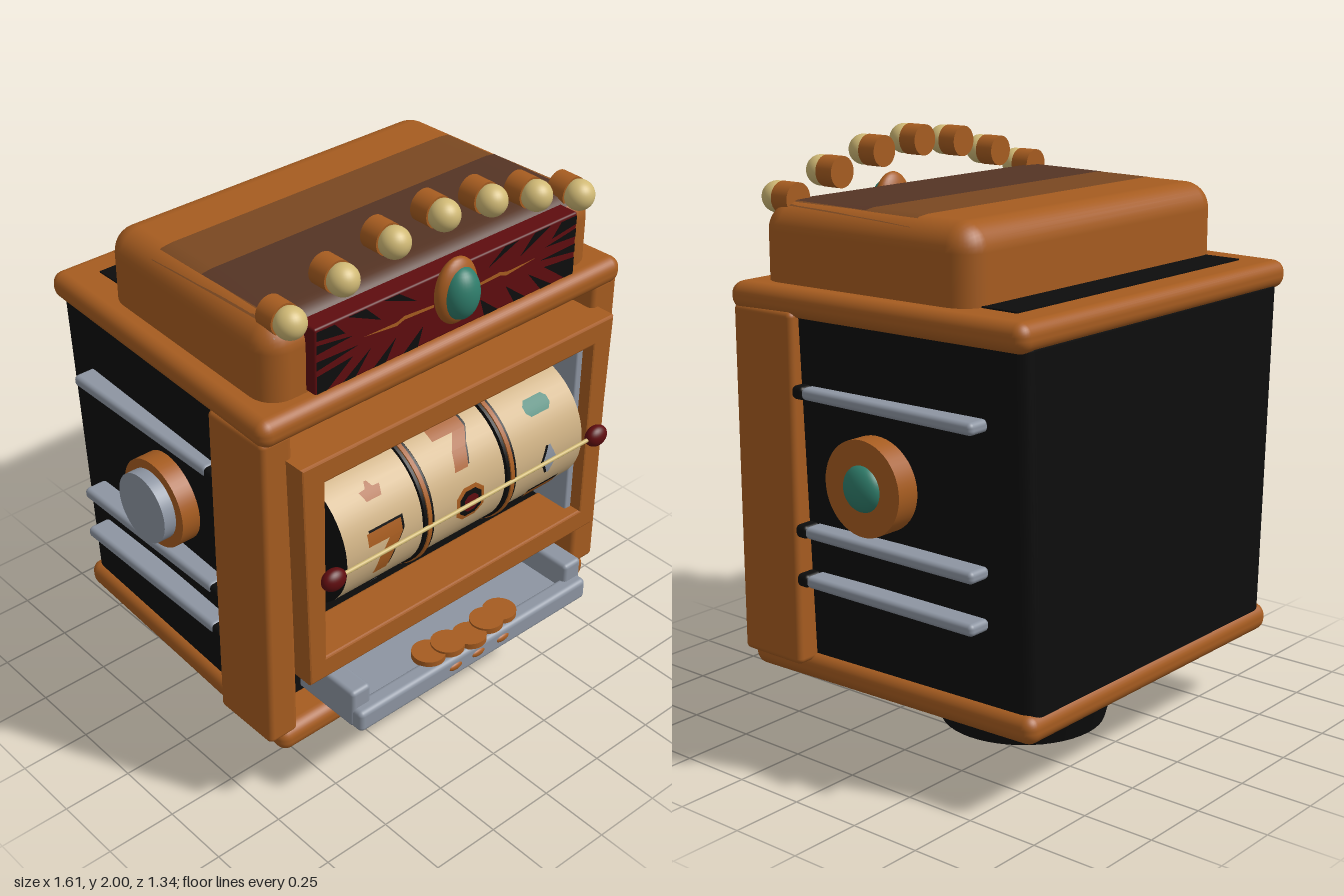
import * as THREE from 'three';
import { RoundedBoxGeometry } from 'three/addons/geometries/RoundedBoxGeometry.js';

const mat = (name, color) => Object.assign(new THREE.MeshStandardMaterial({ color }), { name });

export function createModel() {
  const wood = mat('orange wood', 0xa65c20), midWood = mat('dark orange', 0x7a4821), brown = mat('brown', 0x553424);
  const black = mat('black', 0x0d0d0d), silver = mat('silver', 0x8d95a2), cream = mat('cream', 0xcdb083);
  const gold = mat('pale gold', 0xd0b975), red = mat('dark red', 0x5e0c0f), teal = mat('teal', 0x2f7d6b);
  const root = new THREE.Group();
  root.name = 'slotMachine';

  const add = (name, geo, material, x = 0, y = 0, z = 0) => {
    const m = new THREE.Mesh(geo, material);
    m.name = name;
    m.position.set(x, y, z);
    root.add(m);
    return m;
  };
  // Rounded box given by its limits
  const block = (name, material, [x0, x1], [y0, y1], [z0, z1], r = 0.015) =>
    add(name, new RoundedBoxGeometry(x1 - x0, y1 - y0, z1 - z0, 4, r)
      .translate((x0 + x1) / 2, (y0 + y1) / 2, (z0 + z1) / 2), material);
  // The cabinet narrows toward the back and the bottom
  const taper = (mesh) => {
    const p = mesh.geometry.attributes.position;
    for (let i = 0; i < p.count; i++) {
      const plan = 1 - 0.072 * (0.49 - p.getZ(i)) / 1.16;
      const rise = 1 - 0.066 * (1.52 - Math.min(p.getY(i), 1.52)) / 1.22;
      p.setX(i, p.getX(i) * plan * rise);
    }
    return mesh;
  };
  const disc = (name, material, r, h, axis, x, y, z, r2 = r) => {
    const g = new THREE.CylinderGeometry(r2, r, h, 48);
    if (axis === 'x') g.rotateZ(-Math.PI / 2);
    if (axis === 'z') g.rotateX(Math.PI / 2);
    return add(name, g, material, x, y, z);
  };
  const ball = (name, material, x, y, z, rx, ry = rx, rz = rx) =>
    add(name, new THREE.SphereGeometry(1, 32, 20).scale(rx, ry, rz), material, x, y, z);

  // Pedestal
  disc('foot', black, 0.285, 0.09, 'y', 0, 0.045, -0.1, 0.31);
  disc('lowerCollar', wood, 0.31, 0.07, 'y', 0, 0.125, -0.1, 0.355);
  disc('silverCollar', silver, 0.355, 0.05, 'y', 0, 0.183, -0.1);
  disc('upperCollar', wood, 0.355, 0.06, 'y', 0, 0.235, -0.1, 0.425);

  // Cabinet
  taper(block('basePlate', wood, [-0.765, 0.765], [0.25, 0.345], [-0.67, 0.49], 0.042));
  taper(block('cabinet', black, [-0.735, 0.735], [0.29, 1.52], [-0.658, 0.36], 0.05));
  taper(block('topPlate', wood, [-0.765, 0.765], [1.465, 1.56], [-0.67, 0.495], 0.042));
  add('ventPanel', new THREE.BoxGeometry(1.18, 0.008, 0.2), black, 0, 1.561, -0.45);

  // Lid with shaded patches following its rounded edges
  taper(block('lid', wood, [-0.69, 0.69], [1.44, 1.81], [-0.42, 0.43], 0.09));
  const patch = (name, material, w, z0, z1, lift) => {
    const g = new THREE.PlaneGeometry(2 * w, z1 - z0, 32, 24).rotateX(-Math.PI / 2).translate(0, 0, (z0 + z1) / 2);
    const p = g.attributes.position;
    const drop = (d) => 0.09 - Math.sqrt(0.0081 - Math.min(Math.max(d, 0), 0.09) ** 2);
    for (let i = 0; i < p.count; i++) {
      const edge = 0.69 * (1 - 0.072 * (0.49 - p.getZ(i)) / 1.16) - 0.09;
      p.setY(i, 1.81 + lift - drop(Math.hypot(Math.max(0, Math.abs(p.getX(i)) - edge), Math.max(0, p.getZ(i) - 0.34))));
    }
    g.computeVertexNormals();
    add(name, g, material);
  };
  patch('lidMidPatch', midWood, 0.64, -0.18, 0.405, 0.002);
  patch('lidBrownPatch', brown, 0.61, 0.03, 0.41, 0.004);

  // Sign with flame stripes
  block('sign', red, [-0.545, 0.545], [1.565, 1.79], [0.38, 0.47], 0.008);
  const flat = (name, material, pts, z) =>
    add(name, new THREE.ShapeGeometry(new THREE.Shape(pts.map(([x, y]) => new THREE.Vector2(x, y)))), material, 0, 0, z);
  const stripes = [
    [[0.54, 1.78], [0.47, 1.78], [0.43, 1.735], [0.54, 1.75]],
    [[0.54, 1.735], [0.40, 1.715], [0.54, 1.705]],
    [[0.54, 1.68], [0.38, 1.675], [0.54, 1.65]],
    [[0.54, 1.63], [0.40, 1.645], [0.50, 1.57], [0.54, 1.57]],
    [[0.44, 1.57], [0.33, 1.645], [0.39, 1.57]],
    [[0.32, 1.57], [0.23, 1.64], [0.27, 1.57]],
    [[0.20, 1.57], [0.12, 1.635], [0.14, 1.57]],
    [[0.42, 1.785], [0.29, 1.725], [0.35, 1.785]],
    [[0.28, 1.785], [0.15, 1.735], [0.22, 1.785]],
  ];
  const flame = [[0.08, 1.685], [0.2, 1.69], [0.23, 1.68], [0.36, 1.695], [0.23, 1.693], [0.2, 1.703], [0.08, 1.695]];
  for (const s of [-1, 1]) {
    const flip = (pts) => pts.map(([x, y]) => [s * x, y]);
    stripes.forEach((pts) => flat('signStripe', black, flip(pts), 0.472));
    flat('signFlame', wood, flip(flame), 0.474);
  }
  ball('gemMount', wood, 0, 1.72, 0.485, 0.083, 0.113, 0.04);
  ball('gem', teal, 0, 1.72, 0.505, 0.064, 0.088, 0.058);

  // Arch of bulbs
  [1.815, 1.88, 1.93, 1.95, 1.93, 1.88, 1.815].forEach((y, i) => {
    const x = (i - 3) * 0.199;
    disc('bulbSocket', wood, 0.052, 0.07, 'z', x, y, 0.367);
    ball('bulb', gold, x, y, 0.425, 0.051);
  });

  // Pillars, side rails and side bosses
  for (const s of [-1, 1]) {
    const span = (a, b) => (s > 0 ? [a, b] : [-b, -a]);
    block('pillar', wood, span(0.64, 0.757), [0.32, 1.49], [0.22, 0.48], 0.02);
    for (const y of [1.235, 0.78, 0.615]) {
      block('sideRail', silver, span(0.665, 0.752), [y - 0.02, y + 0.02], [-0.51, 0.19], 0.016);
      block('railEnd', black, span(0.68, 0.754), [y - 0.022, y + 0.022], [0.18, 0.23], 0.016);
    }
    disc('sideBoss', wood, 0.155, 0.1, 'x', s * 0.713, 0.98, -0.08);
    block('windowTrim', silver, span(0.55, 0.582), [0.63, 1.33], [0.34, 0.51], 0.008);
    block('trayEnd', silver, span(0.45, 0.53), [0.355, 0.5], [0.34, 0.62], 0.015);
    ball('paylineKnob', red, s * 0.583, 0.98, 0.592, 0.045, 0.038, 0.03);
  }
  ball('sideGem', teal, 0.755, 0.98, -0.08, 0.045, 0.076, 0.076);
  disc('sideKnob', silver, 0.122, 0.06, 'x', -0.777, 0.98, -0.083);

  // Window frame
  const rect = (P, w0, w1, y0, y1) => new P([[-w0, y0], [w0, y0], [w1, y1], [-w1, y1]].map(([x, y]) => new THREE.Vector2(x, y)));
  const frame = rect(THREE.Shape, 0.64, 0.662, 0.567, 1.393);
  frame.holes.push(rect(THREE.Path, 0.586, 0.586, 0.635, 1.325));
  add('windowFrame', new THREE.ExtrudeGeometry(frame, {
    depth: 0.16, bevelThickness: 0.008, bevelSize: 0.007, bevelSegments: 2,
  }), wood, 0, 0, 0.385);

  // Reels and dividers
  const RY = 0.98, RZ = 0.34, R = 0.24;
  const reelX = [-0.36, 0.004, 0.368];
  for (const x of reelX) disc('reel', [cream, black, black], R, 0.315, 'x', x, RY, RZ);
  for (const x of [-0.18, 0.187]) {
    disc('reelDivider', black, 0.248, 0.04, 'x', x, RY, RZ);
    disc('dividerRim', wood, 0.253, 0.016, 'x', x, RY, RZ);
  }

  // Reel symbols: rows of [height, left, right] wrapped round the drum
  const symbol = (name, material, rows, x, turn, lift = 0.004, scale = 1) => {
    const pos = [], idx = [], r = R + lift, steps = 4;
    for (let i = 0; i < rows.length - 1; i++) {
      for (let k = 0; k <= steps; k++) {
        const [v, a, b] = rows[i].map((n, j) => scale * THREE.MathUtils.lerp(n, rows[i + 1][j], k / steps));
        const t = turn + v / R, n = pos.length / 3;
        pos.push(x + a, r * Math.sin(t), r * Math.cos(t), x + b, r * Math.sin(t), r * Math.cos(t));
        if (k < steps) idx.push(n, n + 2, n + 3, n, n + 3, n + 1);
      }
    }
    const g = new THREE.BufferGeometry();
    g.setAttribute('position', new THREE.Float32BufferAttribute(pos, 3));
    g.setIndex(idx);
    g.computeVertexNormals();
    add(name, g, material, 0, RY, RZ);
  };
  const seven = [[0.08, -0.07, 0.07], [0.035, -0.07, 0.07], [0.034, 0.015, 0.07], [-0.02, -0.025, 0.035], [-0.085, -0.045, 0.012]];
  const crown = [[0.035, -0.005, 0.005], [0.012, -0.015, 0.015], [0.01, -0.042, 0.042], [-0.025, -0.03, 0.03]];
  const oval = [[0.055, -0.025, 0.025], [0.03, -0.055, 0.055], [-0.03, -0.055, 0.055], [-0.055, -0.025, 0.025]];
  const lozenge = [[0.03, -0.04, 0.04], [0.012, -0.056, 0.056], [-0.012, -0.056, 0.056], [-0.03, -0.04, 0.04]];
  const diamond = [[0.055, -0.004, 0.004], [0, -0.03, 0.03], [-0.055, -0.004, 0.004]];
  const T = 0.86;
  [[0, 0], [1, T], [2, -T]].forEach(([i, t]) => {
    symbol('sevenShadow', black, seven, reelX[i] + 0.01, t + 0.03, 0.002);
    symbol('seven', wood, seven, reelX[i], t);
  });
  symbol('crown', wood, crown, reelX[0], T * 0.95);
  symbol('crown', wood, crown, reelX[1], -T);
  symbol('cherryRim', wood, oval, reelX[1], 0, 0.003, 1.1);
  symbol('cherryRing', black, oval, reelX[1], 0, 0.005, 0.85);
  symbol('cherry', red, oval, reelX[1], 0, 0.007, 0.55);
  symbol('lozenge', teal, lozenge, reelX[2], T * 0.95);
  for (const [i, t] of [[2, 0], [0, -T]]) {
    symbol('diamondShadow', black, diamond, reelX[i] - 0.01, t, 0.002);
    symbol('diamond', silver, diamond, reelX[i], t);
  }
  disc('payline', gold, 0.007, 1.14, 'x', 0, 0.98, 0.592);

  // Coin tray
  block('trayBed', silver, [-0.5, 0.5], [0.35, 0.405], [0.34, 0.63]);
  block('trayLip', silver, [-0.525, 0.525], [0.35, 0.432], [0.59, 0.655], 0.018);
  [-0.165, -0.09, 0, 0.09, 0.165].forEach((x, i) => {
    disc('coin', wood, 0.058, 0.022, 'y', x, 0.44 + 0.008 * (i % 2), 0.585 + 0.012 * (2 - Math.abs(i - 2)));
  });
  for (const x of [-0.105, 0, 0.115]) ball('lipCoin', wood, x, 0.395, 0.652, 0.03, 0.014, 0.01);

  return root;
}
